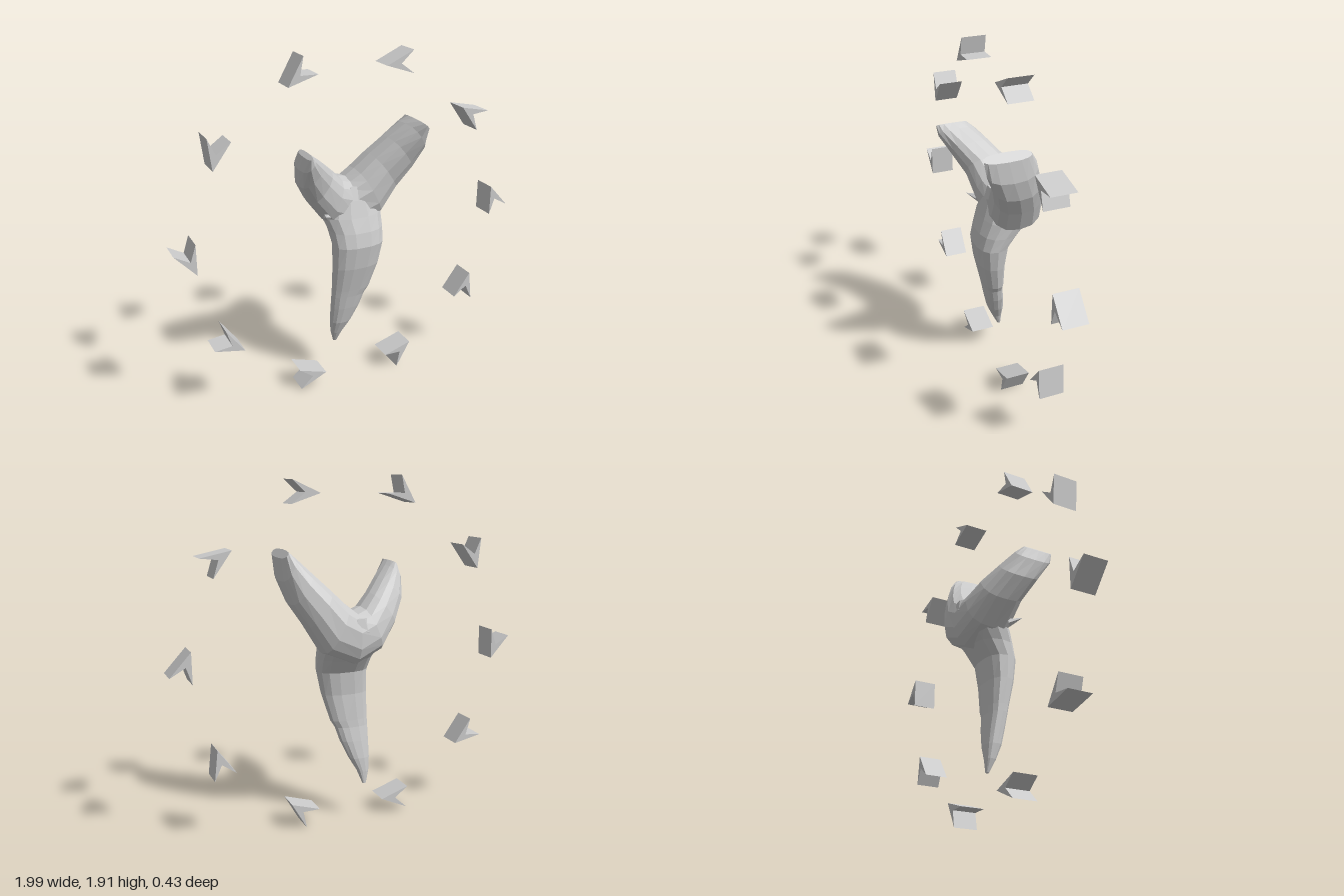
import * as THREE from 'three';

const SIDES = 14;
const material = new THREE.MeshStandardMaterial({ color: 0xcccccc, flatShading: true });

// One rounded cross-section around a centre, spanned by half-axes u and v
function ring(center, u, v, power = 0.8) {
  const soft = (t) => Math.sign(t) * Math.pow(Math.abs(t), power);
  return Array.from({ length: SIDES }, (_, j) => {
    const a = (j / SIDES) * Math.PI * 2;
    return center.clone().addScaledVector(u, soft(Math.cos(a))).addScaledVector(v, soft(Math.sin(a)));
  });
}

// Skin a row of cross-sections and close both ends
function loft(rings) {
  const pos = [], index = [], last = rings.length - 1;
  rings.flat().forEach((p) => pos.push(p.x, p.y, p.z));
  const cap = (points) => {
    const c = points.reduce((s, p) => s.add(p), new THREE.Vector3()).divideScalar(SIDES);
    pos.push(c.x, c.y, c.z);
    return pos.length / 3 - 1;
  };
  const first = cap(rings[0]), end = cap(rings[last]);
  for (let j = 0; j < SIDES; j++) {
    const k = (j + 1) % SIDES;
    for (let i = 0; i < last; i++) {
      const a = i * SIDES + j, b = i * SIDES + k;
      index.push(a, a + SIDES, b, b, a + SIDES, b + SIDES);
    }
    index.push(first, j, k, end, last * SIDES + k, last * SIDES + j);
  }
  const geo = new THREE.BufferGeometry();
  geo.setAttribute('position', new THREE.Float32BufferAttribute(pos, 3));
  geo.setIndex(index);
  geo.computeVertexNormals();
  return geo;
}

function add(parent, geo, name) {
  const mesh = new THREE.Mesh(geo, material);
  mesh.name = name;
  parent.add(mesh);
  return mesh;
}

export function createModel() {
  const model = new THREE.Group();
  const tooth = new THREE.Group();
  tooth.name = 'tooth';
  model.add(tooth);

  // Blade: y, xMin, xMax, zFront, zBack from the point upwards
  const blade = [
    [0.22, -0.08, -0.06, -0.05, -0.068],
    [0.29, -0.1, -0.035, -0.015, -0.07],
    [0.37, -0.11, 0.01, 0.02, -0.068],
    [0.47, -0.113, 0.055, 0.045, -0.055],
    [0.55, -0.115, 0.08, 0.062, -0.042],
    [0.59, -0.115, 0.105, 0.072, -0.04],
    [0.74, -0.117, 0.148, 0.11, -0.035],
    [0.87, -0.117, 0.172, 0.13, -0.05],
    [0.95, -0.125, 0.182, 0.115, -0.11],
    [1.03, -0.15, 0.19, 0.088, -0.185],
    [1.12, -0.12, 0.16, 0.06, -0.215],
    [1.19, -0.05, 0.07, 0.035, -0.2],
  ].map(([y, x0, x1, zf, zb]) => ring(
    new THREE.Vector3((x0 + x1) / 2, y, (zf + zb) / 2),
    new THREE.Vector3((x1 - x0) / 2, 0, 0),
    new THREE.Vector3(0, 0, (zf - zb) / 2)));
  add(tooth, loft(blade), 'blade');

  // Forked root, lobe to lobe: upper edge x y, lower edge x y, zFront, zBack
  const root = [
    [-0.295, 1.455, -0.318, 1.435, 0.215, 0.04],
    [-0.265, 1.43, -0.332, 1.36, 0.205, -0.01],
    [-0.19, 1.37, -0.312, 1.25, 0.15, -0.08],
    [-0.11, 1.3, -0.24, 1.13, 0.09, -0.15],
    [-0.04, 1.235, -0.14, 1.0, 0.07, -0.2],
    [0.01, 1.22, 0.02, 0.93, 0.055, -0.22],
    [0.06, 1.26, 0.19, 1.0, 0.075, -0.218],
    [0.14, 1.34, 0.27, 1.14, 0.09, -0.185],
    [0.23, 1.43, 0.342, 1.26, 0.13, -0.14],
    [0.31, 1.51, 0.378, 1.38, 0.18, -0.095],
    [0.345, 1.542, 0.378, 1.5, 0.2, -0.055],
  ].map(([ax, ay, bx, by, zf, zb]) => ring(
    new THREE.Vector3((ax + bx) / 2, (ay + by) / 2, (zf + zb) / 2),
    new THREE.Vector3((ax - bx) / 2, (ay - by) / 2, 0),
    new THREE.Vector3(0, 0, (zb - zf) / 2)));
  add(tooth, loft(root), 'forkedRoot');

  // Small chip on the front of the root
  const chip = add(tooth, new THREE.ConeGeometry(0.025, 0.08, 5), 'rootChip');
  chip.position.set(-0.165, 1.06, 0.06);
  chip.rotation.set(1.2, 0, 0.5);

  // Ring of notched arrowheads, point-symmetric about the centre
  const outline = new THREE.Shape([[0, 0], [0.158, -0.062], [0.083, 0], [0.158, 0.062]]
    .map(([x, y]) => new THREE.Vector2(x, y)));
  const arrowGeo = new THREE.ExtrudeGeometry(outline, { depth: 0.135, bevelEnabled: false });
  arrowGeo.translate(0, 0, -0.0675);
  const arrows = new THREE.Group();
  arrows.name = 'arrowheadRing';
  arrows.position.y = 0.968;
  model.add(arrows);
  const tips = [[-0.364, 0.808], [0.182, 0.866], [0.657, 0.593], [0.882, 0.096], [0.768, -0.438]];
  tips.forEach(([x, y], i) => {
    for (const s of [1, -1]) {
      const arrow = add(arrows, arrowGeo, 'arrowhead');
      arrow.position.set(x * s, y * s, 0);
      arrow.rotation.z = THREE.MathUtils.degToRad(39 - 36 * i + (s < 0 ? 180 : 0));
    }
  });
  return model;
}
